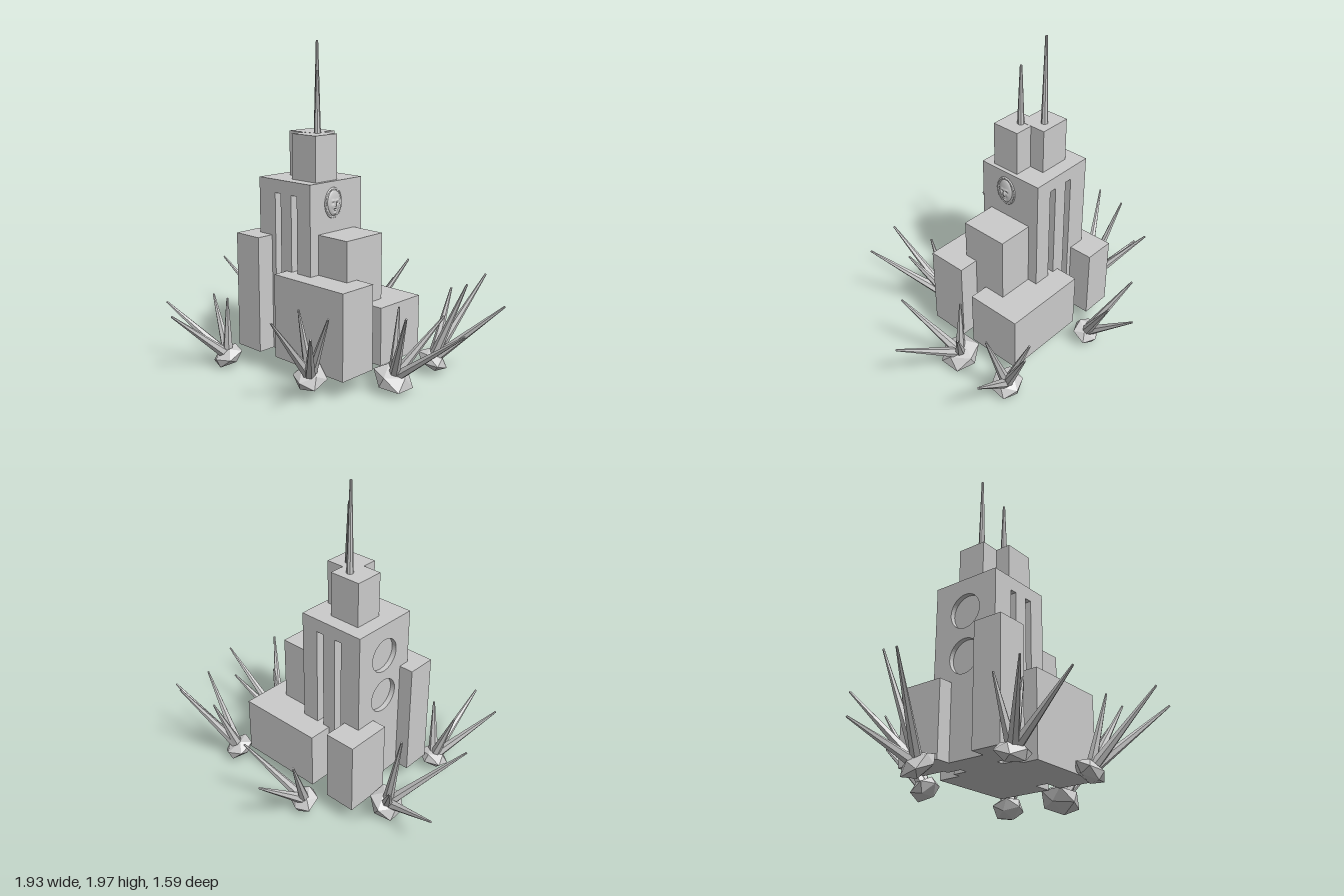
import * as THREE from 'three';

const flat = new THREE.MeshStandardMaterial({ color: 0xcccccc, flatShading: true });
const smooth = new THREE.MeshStandardMaterial({ color: 0xcccccc });
const BASE = 0.15;

function add(parent, name, geometry, material = flat) {
  const mesh = new THREE.Mesh(geometry, material);
  mesh.name = name;
  parent.add(mesh);
  return mesh;
}

// Box given by its limits on each axis
function block(parent, name, [x0, x1], [y0, y1], [z0, z1]) {
  const mesh = add(parent, name, new THREE.BoxGeometry(x1 - x0, y1 - y0, z1 - z0));
  mesh.position.set((x0 + x1) / 2, (y0 + y1) / 2, (z0 + z1) / 2);
}

function createTower() {
  const tower = new THREE.Group();
  tower.name = 'tower';
  const x0 = -0.4, x1 = 0.03, h = 0.215, top = 1.2, slotTop = 1.12;
  const panel = 0.03, depth = 0.09;
  const left = x0 + panel;

  // Footprint with two tall window slots at front and back
  const slots = [[-0.263, -0.216], [-0.127, -0.08]];
  const pts = [[left, -h]];
  for (const [a, b] of slots) pts.push([a, -h], [a, -h + depth], [b, -h + depth], [b, -h]);
  pts.push([x1, -h], [x1, h]);
  for (const [a, b] of [...slots].reverse()) pts.push([b, h], [b, h - depth], [a, h - depth], [a, h]);
  pts.push([left, h]);
  const plan = new THREE.Shape(pts.map(([x, z]) => new THREE.Vector2(x, -z)));
  const core = new THREE.ExtrudeGeometry(plan, { depth: slotTop - BASE, bevelEnabled: false });
  core.rotateX(-Math.PI / 2).translate(0, BASE, 0);
  add(tower, 'slottedShaft', core);
  block(tower, 'shaftCap', [left, x1], [slotTop, top], [-h, h]);

  // Side panel with two round recesses
  const side = new THREE.Shape([[-h, BASE], [h, BASE], [h, top], [-h, top]].map((p) => new THREE.Vector2(...p)));
  for (const y of [1.0, 0.73]) {
    side.holes.push(new THREE.Path().absarc(0, y, 0.103, 0, Math.PI * 2, true));
  }
  const sideGeo = new THREE.ExtrudeGeometry(side, { depth: panel, bevelEnabled: false, curveSegments: 24 });
  sideGeo.rotateY(-Math.PI / 2).translate(left, 0, 0);
  add(tower, 'roundWindowPanel', sideGeo);
  return tower;
}

// Oval plaque with a plain face in relief
function createMedallion() {
  const medallion = new THREE.Group();
  medallion.name = 'faceMedallion';
  const plate = new THREE.CylinderGeometry(0.97, 0.97, 0.05, 40);
  plate.rotateX(Math.PI / 2).translate(0, 0, 0.025);
  add(medallion, 'plaque', plate, flat);
  add(medallion, 'plaqueRim', new THREE.TorusGeometry(0.93, 0.07, 8, 40), smooth);

  // [across, up, width, height, amount], mirrored across the middle
  const features = [
    [0.32, 0.2, 0.24, 0.08, 0.05], [0.34, 0.02, 0.15, 0.08, -0.06],
    [0, -0.08, 0.1, 0.2, 0.045], [0.09, -0.2, 0.09, 0.06, 0.025],
    [0.48, -0.2, 0.16, 0.14, 0.03], [0.1, -0.46, 0.2, 0.035, -0.05],
    [0.08, -0.38, 0.18, 0.04, 0.02], [0.08, -0.54, 0.16, 0.04, 0.025],
    [0.08, -0.75, 0.18, 0.1, 0.04],
  ];
  const face = new THREE.RingGeometry(0.001, 1, 48, 26);
  const p = face.attributes.position;
  for (let i = 0; i < p.count; i++) {
    const u = p.getX(i), v = p.getY(i);
    let z = 0.17 * Math.sqrt(Math.max(0, 1 - u * u - v * v));
    for (const [a, b, w, h, k] of features) {
      for (const s of [-1, 1]) z += k * Math.exp(-(((u - s * a) / w) ** 2) - ((v - b) / h) ** 2);
    }
    const jaw = v < 0 ? 1 + 0.16 * v : 1;
    p.setXYZ(i, u * 0.74 * jaw, v * 0.85, z + 0.03);
  }
  face.computeVertexNormals();
  add(medallion, 'face', face, smooth);
  medallion.scale.set(0.07, 0.092, 0.1);
  medallion.rotation.y = Math.PI / 2;
  medallion.position.set(0.03, 1.073, 0.028);
  return medallion;
}

// Rock at the given centre with tapered spikes reaching to the tips
function createCluster(centre, radius, tips) {
  const cluster = new THREE.Group();
  cluster.name = 'crystalCluster';
  const up = new THREE.Vector3(0, 1, 0);
  const c = new THREE.Vector3(...centre);
  const mean = new THREE.Vector3();
  for (const tip of tips) {
    const dir = new THREE.Vector3(...tip).sub(c);
    const length = dir.length();
    dir.normalize();
    mean.add(dir);
    const geo = new THREE.CylinderGeometry(0.006, 0.034, length, 6);
    geo.translate(0, length / 2, 0);
    const spike = add(cluster, 'crystalSpike', geo);
    spike.position.copy(c);
    spike.quaternion.setFromUnitVectors(up, dir);
  }
  const rock = add(cluster, 'crystalRock', new THREE.IcosahedronGeometry(radius, 0));
  rock.scale.y = 0.55;
  rock.position.copy(c);
  rock.quaternion.setFromUnitVectors(up, mean.normalize());
  return cluster;
}

export function createModel() {
  const model = new THREE.Group();
  model.name = 'crystalTower';
  model.add(createTower(), createMedallion());

  // Surrounding wings
  block(model, 'frontLeftPillar', [-0.49, -0.295], [BASE, 0.86], [0.145, 0.325]);
  block(model, 'backLeftPillar', [-0.49, -0.295], [BASE, 0.595], [-0.365, -0.085]);
  block(model, 'frontWing', [-0.17, 0.38], [BASE, 0.66], [0.067, 0.315]);
  block(model, 'backWing', [-0.17, 0.375], [BASE, 0.5], [-0.358, -0.01]);
  block(model, 'sideWing', [0, 0.255], [BASE, 0.9], [-0.15, 0.15]);

  // Roof blocks and antennas
  block(model, 'backRoofBlock', [-0.31, -0.11], [1.2, 1.47], [-0.13, 0.05]);
  block(model, 'frontRoofBlock', [-0.19, 0.005], [1.2, 1.469], [-0.033, 0.145]);
  for (const [x, z, top] of [[-0.19, -0.065, 2], [-0.095, 0.03, 1.83]]) {
    const antenna = add(model, 'antenna', new THREE.CylinderGeometry(0.007, 0.021, top - 1.47, 8));
    antenna.position.set(x, (top + 1.47) / 2, z);
  }

  // Crystal clusters around the base
  const clusters = [
    [[-0.19, 0.11, -0.45], 0.09, [[-0.325, 0.55, -0.665], [-0.18, 0.405, -0.79], [-0.005, 0.58, -0.73]]],
    [[0.47, 0.11, -0.38], 0.1, [[0.637, 0.62, -0.67], [0.86, 0.495, -0.54], [0.47, 0.525, -0.555], [0.675, 0.615, -0.42]]],
    [[0.48, 0.11, 0], 0.125, [[0.96, 0.48, 0], [0.68, 0.48, -0.2], [0.73, 0.575, 0.205], [0.49, 0.53, -0.03]]],
    [[0.2, 0.155, 0.39], 0.1, [[0.305, 0.59, 0.77], [0.54, 0.55, 0.72], [0.43, 0.57, 0.48], [0.226, 0.58, 0.5]]],
    [[-0.5, 0.095, 0.41], 0.1, [[-0.767, 0.44, 0.66], [-0.535, 0.43, 0.79], [-0.64, 0.46, 0.4], [-0.455, 0.48, 0.44]]],
    [[-0.57, 0.11, -0.14], 0.11, [[-0.955, 0.575, 0.06], [-0.965, 0.285, -0.25], [-0.747, 0.72, -0.26], [-0.81, 0.5, -0.425]]],
  ];
  for (const args of clusters) model.add(createCluster(...args));
  return model;
}
